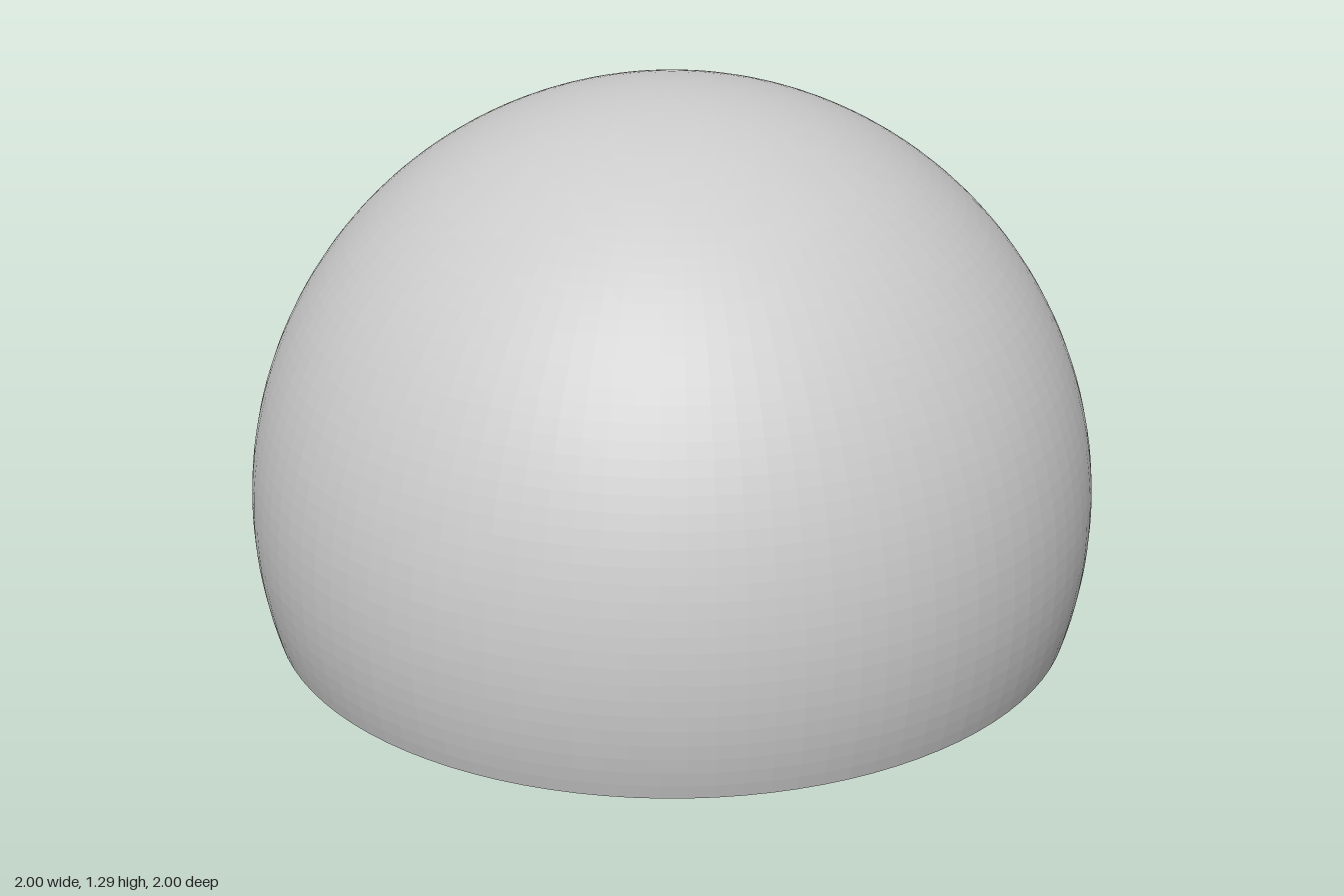
import * as THREE from 'three';

const RADIUS = 1, CENTER_Y = 0.29, SEGMENTS = 100, RINGS = 50;
const HEX_RADIUS = 0.842, HEX_DEPTH = 0.58, HEX_TURN = THREE.MathUtils.degToRad(35);
const BASE_RADIUS = Math.sqrt(RADIUS ** 2 - CENTER_Y ** 2);

// Regular polygon outline, traced into a Shape or Path
function polygon(target, radius, sides, turn) {
  const points = [];
  for (let i = 0; i < sides; i++) {
    const a = turn + (i / sides) * Math.PI * 2;
    points.push(new THREE.Vector2(radius * Math.cos(a), radius * Math.sin(a)));
  }
  return target.setFromPoints(points);
}

export function createModel() {
  const model = new THREE.Group();
  const material = new THREE.MeshStandardMaterial({ color: 0xcccccc, flatShading: true });
  const inside = material.clone();
  inside.side = THREE.BackSide;

  const add = (name, geometry, mat = material) => {
    const mesh = new THREE.Mesh(geometry, mat);
    mesh.name = name;
    model.add(mesh);
  };

  // Dome: a sphere cut off below its equator
  const start = -Math.asin(CENTER_Y / RADIUS);
  const profile = [];
  for (let i = 0; i <= RINGS; i++) {
    const a = start + (i / RINGS) * (Math.PI / 2 - start);
    profile.push(new THREE.Vector2(
      i === RINGS ? 0 : RADIUS * Math.cos(a),
      CENTER_Y + RADIUS * Math.sin(a)));
  }
  add('dome', new THREE.LatheGeometry(profile, SEGMENTS));

  // Flat underside with a hexagonal opening
  const base = polygon(new THREE.Shape(), BASE_RADIUS, SEGMENTS, 0);
  base.holes.push(polygon(new THREE.Path(), HEX_RADIUS, 6, HEX_TURN));
  add('underside', new THREE.ShapeGeometry(base).rotateX(Math.PI / 2));

  // Hexagonal recess: walls seen from within, and a flat ceiling
  const walls = new THREE.CylinderGeometry(
    HEX_RADIUS, HEX_RADIUS, HEX_DEPTH, 6, 1, true, Math.PI / 2 - HEX_TURN);
  add('recessWalls', walls.translate(0, HEX_DEPTH / 2, 0), inside);

  const ceiling = new THREE.ShapeGeometry(polygon(new THREE.Shape(), HEX_RADIUS, 6, HEX_TURN));
  add('recessCeiling', ceiling.rotateX(Math.PI / 2).translate(0, HEX_DEPTH, 0));

  return model;
}
